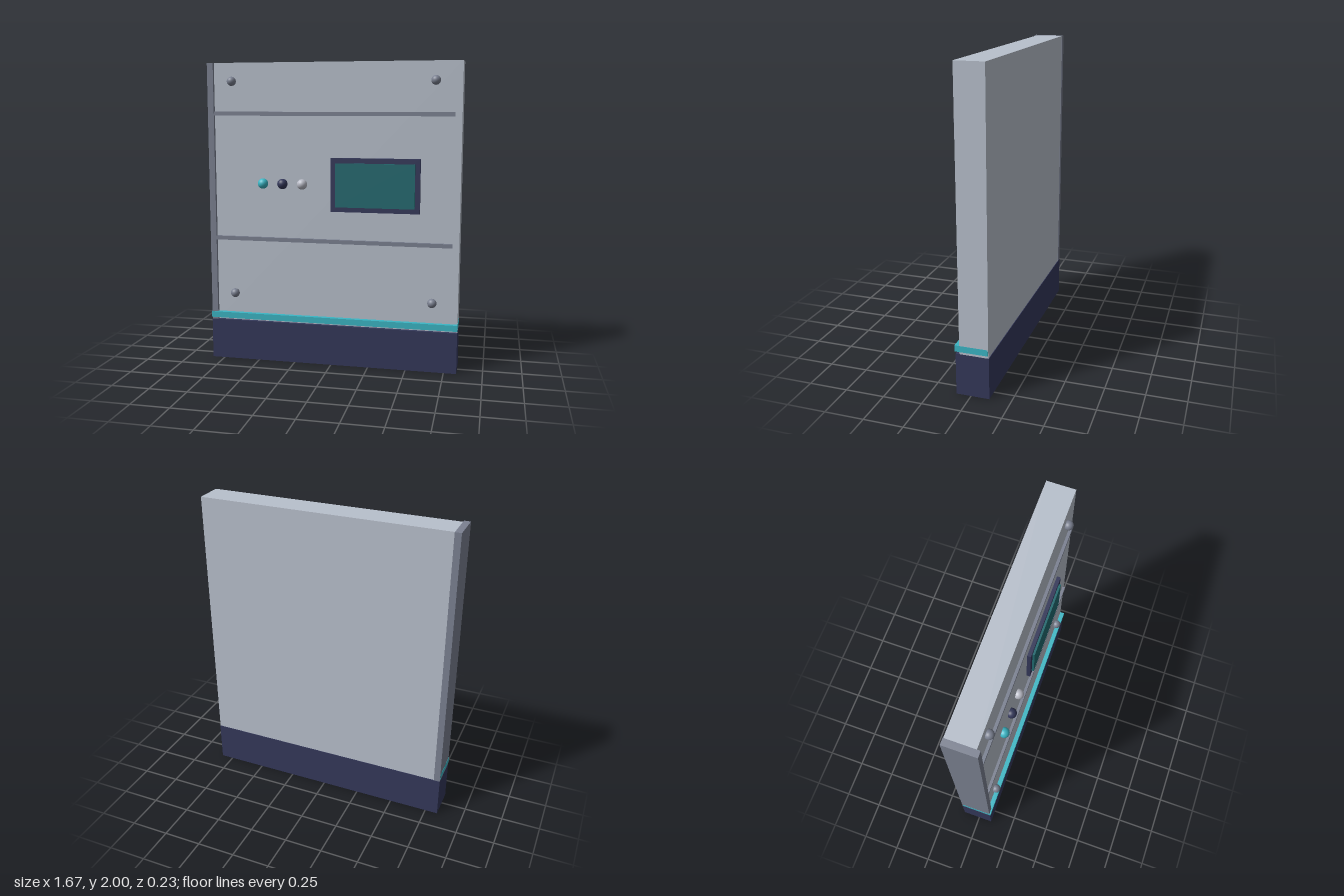
import * as THREE from 'three';

const mat = (name, color) => {
  const m = new THREE.MeshStandardMaterial({ color });
  m.name = name;
  return m;
};

export function createModel() {
  const model = new THREE.Group();
  model.name = 'controlPanel';

  const grey = mat('panelGrey', 0xb8c0cc);
  const steel = mat('steelGrey', 0x7b8191);
  const navy = mat('navy', 0x34385a);
  const teal = mat('teal', 0x3bb6c5);
  const glass = mat('screenTeal', 0x216a70);
  const silver = mat('silver', 0xb9bbc6);

  // box given by its limits on each axis
  const box = (name, m, [x0, x1], [y0, y1], [z0, z1]) => {
    const mesh = new THREE.Mesh(new THREE.BoxGeometry(x1 - x0, y1 - y0, z1 - z0), m);
    mesh.position.set((x0 + x1) / 2, (y0 + y1) / 2, (z0 + z1) / 2);
    mesh.name = name;
    model.add(mesh);
  };
  const ball = (name, m, r, x, y, z) => {
    const mesh = new THREE.Mesh(new THREE.SphereGeometry(r, 24, 16), m);
    mesh.position.set(x, y, z);
    mesh.name = name;
    model.add(mesh);
  };

  // slab, plinth and side strip
  box('slab', grey, [-0.792, 0.833], [0.27, 2], [-0.113, 0.07]);
  box('plinth', navy, [-0.833, 0.833], [0, 0.27], [-0.117, 0.094]);
  box('sideStrip', steel, [-0.833, -0.792], [0.27, 2], [-0.116, 0.091]);

  // accent band above the plinth
  box('accentBand', teal, [-0.834, 0.834], [0.284, 0.324], [-0.11, 0.1]);

  // horizontal rails
  for (const y of [0.838, 1.67]) box('rail', steel, [-0.792, 0.79], [y - 0.013, y + 0.013], [0.06, 0.089]);

  // display
  box('screenFrame', navy, [0, 0.58], [1.038, 1.388], [0.06, 0.095]);
  box('screen', glass, [0.032, 0.548], [1.07, 1.355], [0.09, 0.109]);

  // buttons
  [teal, navy, silver].forEach((m, i) => ball('button', m, 0.034, -0.46 + i * 0.133, 1.212, 0.084));

  // corner bolts
  for (const x of [-0.667, 0.667]) for (const y of [0.46, 1.88]) ball('bolt', steel, 0.03, x, y, 0.086);

  return model;
}
